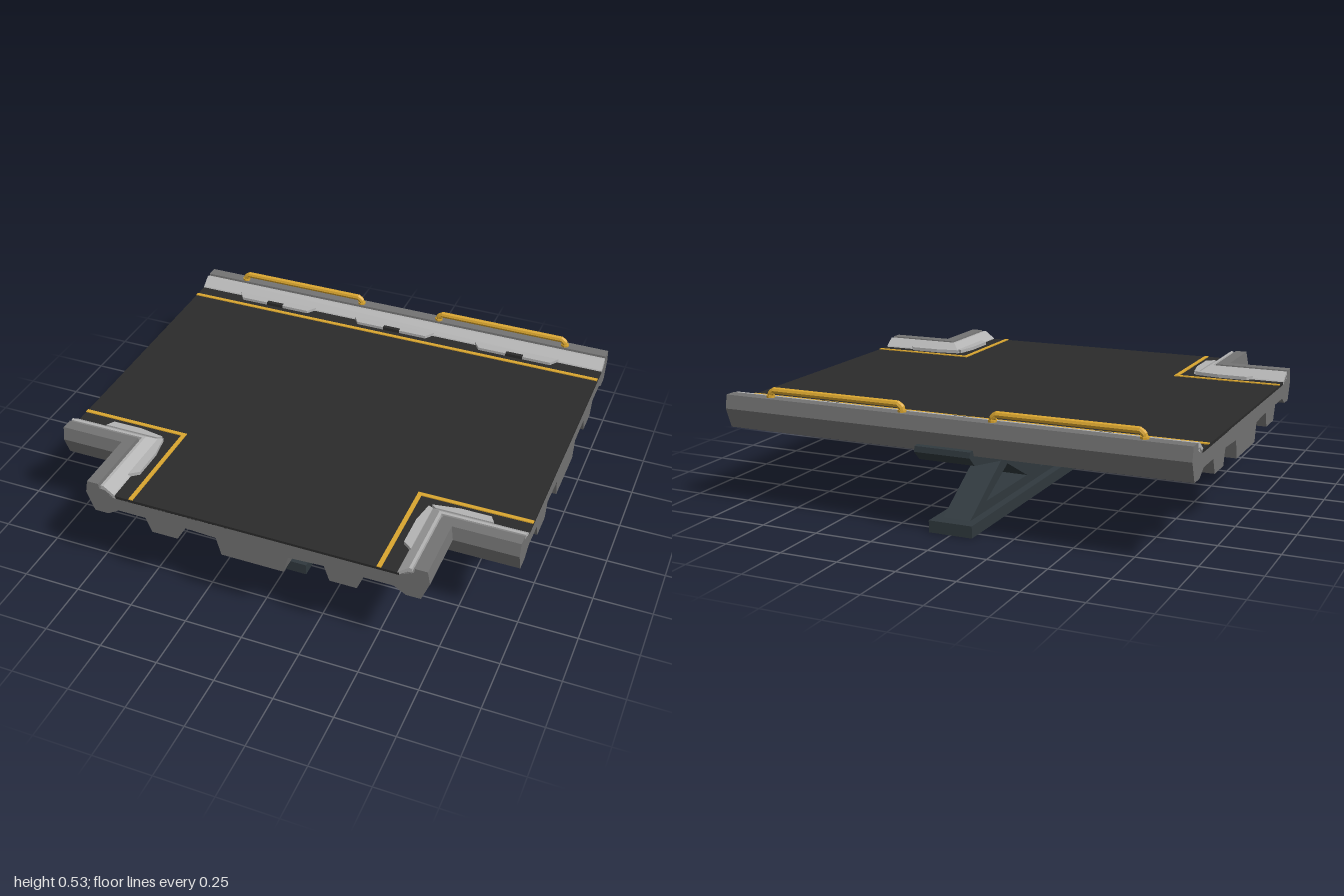
import * as THREE from 'three';

const MID = -0.135; // centre line of the main span in z
const material = (color) => new THREE.MeshStandardMaterial({ color, flatShading: true });

// Sweeps a closed profile of [d, y] points through stations, each mapping (d, y) to [x, y, z].
function loft(profile, stations) {
  let pts = profile.map(([d, y]) => new THREE.Vector2(d, y));
  if (THREE.ShapeUtils.isClockWise(pts)) pts = pts.reverse();
  const rings = stations.map((at) => pts.map((p) => new THREE.Vector3(...at(p.x, p.y))));
  const tris = [];
  for (let s = 0; s + 1 < rings.length; s++) {
    for (let i = 0; i < pts.length; i++) {
      const j = (i + 1) % pts.length;
      const [a, b, c, d] = [rings[s][i], rings[s][j], rings[s + 1][j], rings[s + 1][i]];
      tris.push([a, b, c], [a, c, d]);
    }
  }
  const last = rings[rings.length - 1];
  for (const [i, j, k] of THREE.ShapeUtils.triangulateShape(pts, [])) {
    const ccw = !THREE.ShapeUtils.isClockWise([pts[i], pts[j], pts[k]]);
    const [b, c] = ccw ? [j, k] : [k, j];
    tris.push([last[i], last[b], last[c]], [rings[0][i], rings[0][c], rings[0][b]]);
  }
  // turn the faces outward when the sweep is mirrored
  const volume = tris.reduce((v, [a, b, c]) => v + a.dot(b.clone().cross(c)), 0);
  if (volume < 0) tris.forEach((t) => t.reverse());
  const geometry = new THREE.BufferGeometry().setFromPoints(tris.flat());
  geometry.computeVertexNormals();
  return geometry;
}

function shapeOf(points) {
  return new THREE.Shape(points.map(([a, b]) => new THREE.Vector2(a, b)));
}

// Side outline in (z, y), given width across x.
function sideExtrude(shape, width) {
  return new THREE.ExtrudeGeometry(shape, { depth: width, bevelEnabled: false })
    .translate(0, 0, -width / 2).rotateY(-Math.PI / 2);
}

// Plan outline in (x, z), standing between two heights.
function planExtrude(points, y0, y1) {
  return new THREE.ExtrudeGeometry(shapeOf(points), { depth: y1 - y0, bevelEnabled: false })
    .rotateX(Math.PI / 2).translate(0, y1, 0);
}

export function createModel() {
  const group = new THREE.Group();
  const hull = material(0x737373);
  const light = material(0xb4b4b4);
  const dark = material(0x2b2b2b);
  const yellow = material(0xd9a52f);
  const steel = material(0x30393e);
  const add = (name, geometry, mat) => {
    const mesh = new THREE.Mesh(geometry, mat);
    mesh.name = name;
    group.add(mesh);
    return mesh;
  };
  const box = (name, mat, w, h, d, x, y, z) =>
    add(name, new THREE.BoxGeometry(w, h, d).translate(x, y, z), mat);

  // Ribbed underside: one slab across x, one running forward
  const half = [[0.135, 0.29], [0.155, 0.37], [0.305, 0.378], [0.328, 0.31],
    [0.442, 0.31], [0.468, 0.375], [0.64, 0.375], [0.64, 0.436]];
  const ribs = [...half, ...half.map(([d, y]) => [-d, y]).reverse()];
  add('crossSlab', loft(ribs, [-1, 1].map((x) => (d, y) => [x, y, d + MID])), hull);
  add('frontSlab', loft(ribs, [MID, 0.87].map((z) => (d, y) => [d, y, z])), hull);

  // Dark T-shaped floor
  add('floor', planExtrude([[-1, -0.745], [1, -0.745], [1, 0.475], [0.61, 0.475], [0.61, 0.87],
    [-0.61, 0.87], [-0.61, 0.475], [-1, 0.475]], 0.434, 0.447), dark);

  // Low walls with a sloped light inner trim: straight at the back, L-shaped in front
  const wall = [[0.59, 0.375], [0.64, 0.345], [0.70, 0.345], [0.733, 0.43], [0.722, 0.487],
    [0.672, 0.487], [0.668, 0.465], [0.645, 0.465], [0.60, 0.432]];
  const trim = [[0.595, 0.436], [0.605, 0.452], [0.648, 0.484], [0.66, 0.484], [0.66, 0.455], [0.62, 0.432]];
  const runs = [['back', [-1, 1].map((x) => (d, y) => [x, y, MID - d])]];
  for (const s of [1, -1]) {
    runs.push([s > 0 ? 'frontLeft' : 'frontRight', [
      (d, y) => [s, y, MID + d],
      (d, y) => [s * d, y, MID + d],
      (d, y) => [s * d, y, 0.87],
    ]]);
  }
  for (const [name, stations] of runs) {
    add(name + 'Wall', loft(wall, stations), hull);
    add(name + 'Trim', loft(trim, stations), light);
  }

  // Light brackets stepping out of the trim, with dark slots
  for (const x of [-0.6, 0, 0.6]) {
    add('backBracket', planExtrude([[x - 0.2, -0.745], [x + 0.2, -0.745],
      [x + 0.17, -0.702], [x - 0.17, -0.702]], 0.44, 0.46), light);
    box('bracketSlot', dark, 0.08, 0.016, 0.018, x, 0.454, -0.709);
  }
  for (const s of [1, -1]) {
    add('frontBracket', planExtrude([[0.62, 0.475], [0.86, 0.475], [0.84, 0.442], [0.71, 0.442],
      [0.60, 0.46]].map(([x, z]) => [s * x, z]), 0.44, 0.462), light);
    add('sideBracket', planExtrude([[0.61, 0.48], [0.61, 0.74], [0.572, 0.71], [0.572, 0.57],
      [0.59, 0.47]].map(([x, z]) => [s * x, z]), 0.44, 0.462), light);
  }

  // Painted floor lines
  box('backLine', yellow, 2, 0.004, 0.018, 0, 0.449, -0.663);
  for (const s of [1, -1]) {
    box('crossLine', yellow, 0.48, 0.004, 0.018, s * 0.76, 0.449, 0.4);
    box('frontLine', yellow, 0.018, 0.004, 0.479, s * 0.529, 0.449, 0.6305);
  }

  // Two handrails on the back wall
  for (const s of [1, -1]) {
    const path = new THREE.CurvePath();
    const p = [[0.195, 0.48], [0.195, 0.502], [0.21, 0.517], [0.79, 0.517], [0.805, 0.502], [0.805, 0.48]]
      .map(([x, y]) => new THREE.Vector3(s * x, y, -0.825));
    for (let i = 0; i < p.length - 1; i++) path.add(new THREE.LineCurve3(p[i], p[i + 1]));
    add('handrail', new THREE.TubeGeometry(path, 60, 0.014, 8), yellow);
    for (const x of [0.195, 0.805]) {
      add('railFoot', new THREE.CylinderGeometry(0.018, 0.018, 0.012, 8)
        .translate(s * x, 0.49, -0.825), yellow);
    }
  }

  // Support: keel beam, open truss and base
  add('keelBeam', sideExtrude(shapeOf([[0.5, 0.295], [0.32, 0.26], [-0.57, 0.26], [-0.83, 0.305],
    [-0.872, 0.345], [-0.868, 0.368], [-0.845, 0.37], [-0.825, 0.36], [-0.27, 0.345], [-0.2, 0.295]]), 0.24), steel);
  const truss = shapeOf([[0.5, 0.045], [0.14, 0.262], [-0.4, 0.262], [-0.76, 0.045]]);
  for (const hole of [
    [[0.345, 0.09], [0.14, 0.195], [-0.06, 0.09]],
    [[0.07, 0.222], [-0.33, 0.222], [-0.13, 0.125]],
    [[-0.2, 0.09], [-0.4, 0.195], [-0.605, 0.09]],
  ]) truss.holes.push(new THREE.Path(hole.map(([z, y]) => new THREE.Vector2(z, y))));
  add('truss', sideExtrude(truss, 0.12), steel);
  box('base', steel, 0.19, 0.05, 1.37, 0, 0.025, -0.125);

  return group;
}
